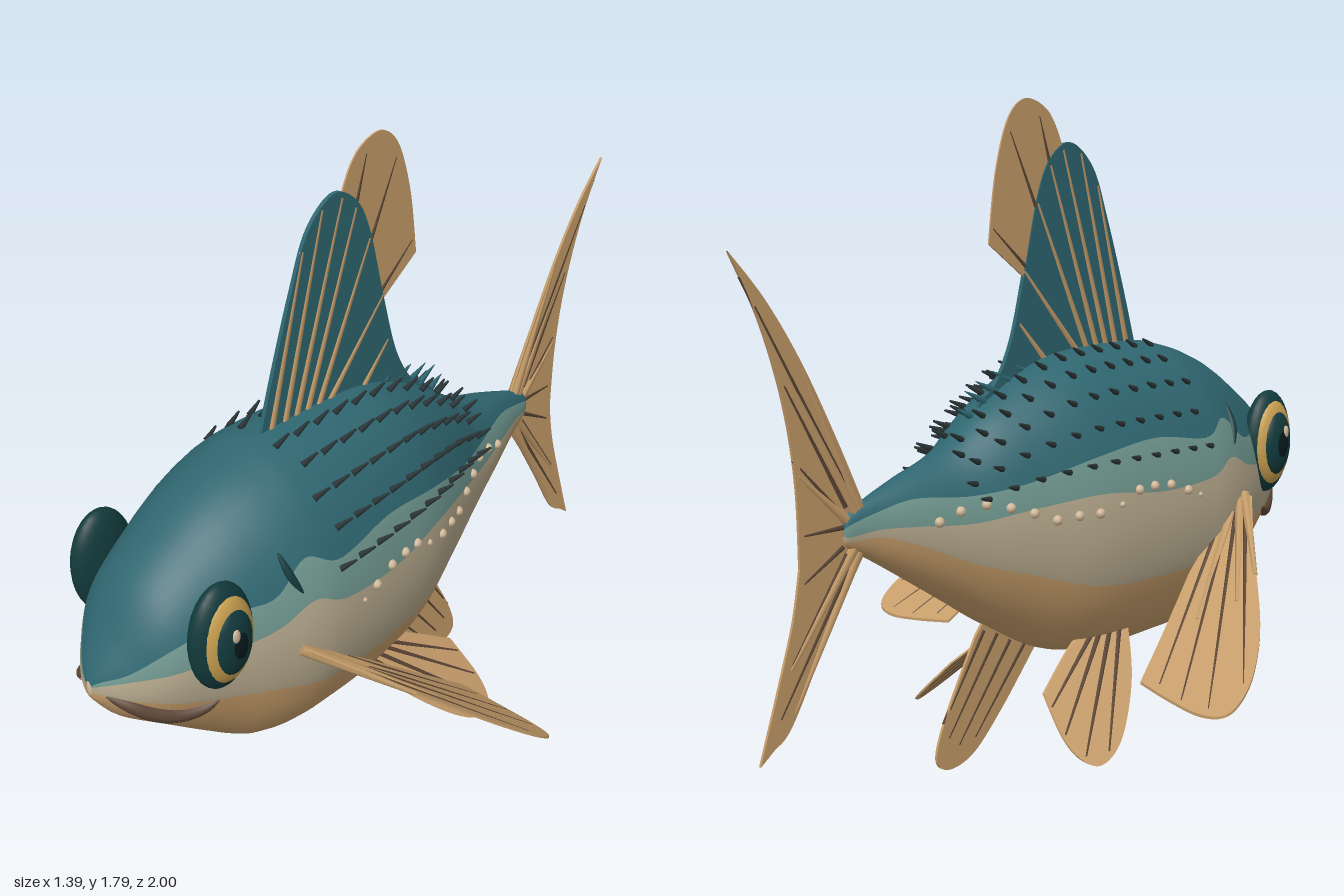
import * as THREE from 'three';

const mat = (name, color, side = THREE.FrontSide) => {
  const m = new THREE.MeshStandardMaterial({ color, side });
  m.name = name;
  return m;
};
const V = (x, y, z) => new THREE.Vector3(x, y, z);

// Body stations: z, top, bottom, half width, then the three colour borders from the top down
const STATIONS = [
  [1, .66, .61, .012, .65, .645, .63], [.985, .69, .585, .05, .67, .66, .63],
  [.94, .76, .525, .11, .7, .68, .62], [.85, .89, .455, .19, .77, .705, .6],
  [.7, 1, .335, .25, .82, .73, .57], [.6, 1.055, .265, .285, .83, .75, .55],
  [.5, 1.09, .24, .31, .9, .79, .52], [.4, 1.11, .235, .315, .86, .75, .5],
  [.2, 1.115, .235, .3, .885, .74, .49], [0, 1.095, .27, .265, .86, .76, .5],
  [-.2, 1.005, .38, .19, .81, .74, .56], [-.35, .9, .48, .13, .79, .72, .61],
  [-.5, .85, .58, .08, .8, .73, .68], [-.6, .815, .645, .045, .78, .735, .715],
  [-.68, .78, .695, .02, .755, .725, .71], [-.69, .75, .72, .003, .74, .73, .725],
];
const columns = [1, 2, 3, 4, 5, 6].map(
  (c) => new THREE.SplineCurve(STATIONS.map((s) => new THREE.Vector2(s[0], s[c]))));

function section(t) {
  const p = columns.map((c) => c.getPoint(t));
  const [top, bot, w, ...borders] = p.map((q) => q.y);
  const c = (top + bot) / 2, h = (top - bot) / 2;
  const angle = (y) => Math.asin(THREE.MathUtils.clamp((y - c) / h, -1, 1));
  return { z: p[0].x, c, h, w, borders, angle, at: (a, s = 1) => V(s * w * Math.cos(a), c + h * Math.sin(a), p[0].x) };
}
function sectionAt(z) {
  let lo = 0, hi = 1;
  for (let i = 0; i < 24; i++) {
    const m = (lo + hi) / 2;
    if (columns[0].getPoint(m).x > z) lo = m; else hi = m;
  }
  return section(lo);
}
const onSkin = (z, y, s) => { const q = sectionAt(z); return q.at(q.angle(y), s); };

export function createModel() {
  const D = THREE.DoubleSide;
  const teal = mat('deep teal', 0x2f6670, D), paleTeal = mat('pale teal', 0x6f968e, D);
  const beige = mat('beige', 0xb5a88c, D), tan = mat('tan', 0xc69d6a, D);
  const darkTeal = mat('dark teal', 0x123a3c), gold = mat('gold', 0xc9a050);
  const brown = mat('brown', 0x5c4636), charcoal = mat('charcoal', 0x2a3436);
  const pupilMat = mat('pupil black', 0x08191c), pearl = mat('pearl', 0xd0b898);
  const model = new THREE.Group();
  const group = (name) => { const g = new THREE.Group(); g.name = name; model.add(g); return g; };
  const add = (parent, name, geo, material) => {
    const m = new THREE.Mesh(geo, material);
    m.name = name;
    parent.add(m);
    return m;
  };
  const ball = (parent, name, material, p, rx, ry = rx, rz = rx, n = 32) => {
    const m = add(parent, name, new THREE.SphereGeometry(1, n, n / 2), material);
    m.position.copy(p);
    m.scale.set(rx, ry, rz);
    return m;
  };
  const rod = (parent, name, material, a, b, r0, r1) => {
    const m = add(parent, name, new THREE.CylinderGeometry(r1, r0, a.distanceTo(b), 6), material);
    m.position.copy(a).lerp(b, .5);
    m.quaternion.setFromUnitVectors(V(0, 1, 0), b.clone().sub(a).normalize());
  };
  // Tube that swells in the middle and comes to a point at both ends
  const spindle = (parent, name, material, points, radius) => {
    const curve = new THREE.CatmullRomCurve3(points), n = 24, sides = 10;
    const g = new THREE.TubeGeometry(curve, n, radius, sides), p = g.attributes.position;
    for (let i = 0; i < p.count; i++) {
      const t = Math.floor(i / (sides + 1)) / n, c = curve.getPointAt(t);
      const v = V().fromBufferAttribute(p, i).sub(c).multiplyScalar(.1 + .9 * Math.sin(Math.PI * t) ** .7).add(c);
      p.setXYZ(i, v.x, v.y, v.z);
    }
    g.computeVertexNormals();
    add(parent, name, g, material);
  };
  // Thin plate from an outline made of smooth runs; map places (u, v, depth) in space
  const plate = (parent, name, material, start, runs, map, depth = .008) => {
    const s = new THREE.Shape();
    s.moveTo(...start);
    runs.forEach((r) => s.splineThru(r.map((p) => new THREE.Vector2(...p))));
    const g = new THREE.ExtrudeGeometry(s, { depth, bevelEnabled: false, curveSegments: 6 }), p = g.attributes.position;
    for (let i = 0; i < p.count; i++) {
      const v = map(p.getX(i), p.getY(i), p.getZ(i) - depth / 2);
      p.setXYZ(i, v.x, v.y, v.z);
    }
    g.computeVertexNormals();
    add(parent, name, g, material);
  };
  const rays = (parent, material, list, map, r0 = .009, r1 = .005) =>
    list.forEach(([a, b, c, d]) => rod(parent, 'finRay', material, map(a, b, 0), map(c, d, 0), r0, r1));

  // Body: one smooth skin with four colour bands per side
  const RINGS = 100, SEG = 8, HALF = SEG * 4, N = HALF * 2;
  const pos = [], bands = [[], [], [], []];
  for (let i = 0; i <= RINGS; i++) {
    const q = section(i / RINGS);
    const edges = [-Math.PI / 2, ...q.borders.slice().reverse().map(q.angle), Math.PI / 2];
    for (let k = 0; k < N; k++) {
      const j = k <= HALF ? k : N - k, b = Math.min(3, Math.floor(j / SEG));
      const a = THREE.MathUtils.lerp(edges[b], edges[b + 1], j / SEG - b);
      pos.push(...q.at(a, k <= HALF ? 1 : -1).toArray());
      if (i === RINGS) continue;
      const band = Math.floor((k < HALF ? k : N - 1 - k) / SEG), k1 = (k + 1) % N;
      const A = i * N + k, B = i * N + k1, C = A + N, E = B + N;
      bands[band].push(A, C, B, B, C, E);
    }
  }
  const skin = new THREE.BufferGeometry();
  skin.setAttribute('position', new THREE.Float32BufferAttribute(pos, 3));
  skin.setIndex(bands.flat());
  let offset = 0;
  bands.forEach((b, i) => { skin.addGroup(offset, b.length, i); offset += b.length; });
  skin.computeVertexNormals();
  add(model, 'body', skin, [tan, beige, paleTeal, teal]);
  ball(model, 'lipNub', pearl, V(0, .635, .99), .014, .03, .014, 16);

  // Fins on the centre plane are drawn as (z, y)
  const mid = (z, y, d) => V(-d, y, z);
  const dorsal = group('dorsalFin');
  plate(dorsal, 'dorsalFront', teal, [.41, 1.08],
    [[[.35, 1.27], [.28, 1.47], [.22, 1.61], [.13, 1.68], [.05, 1.64], [0, 1.54], [-.05, 1.34], [-.1, 1.16], [-.16, 1.05], [-.22, 1.01]], [[-.2, .98], [0, 1.05]]], mid, .012);
  plate(dorsal, 'dorsalRear', tan, [.12, 1.62],
    [[[.07, 1.73], [.02, 1.78], [-.05, 1.795], [-.11, 1.74], [-.155, 1.6], [-.18, 1.42]], [[-.03, 1.31]]], mid, .005);
  rays(dorsal, tan, [[.37, 1.09, .24, 1.56], [.32, 1.1, .17, 1.65], [.28, 1.1, .1, 1.66], [.24, 1.1, .05, 1.62],
    [.2, 1.1, .0, 1.52], [.16, 1.1, -.05, 1.34], [.04, 1.08, -.07, 1.2]], mid, .013, .007);
  rays(dorsal, brown, [[.35, 1.1, .215, 1.58], [.3, 1.1, .14, 1.66], [.05, 1.62, .01, 1.75], [0, 1.5, -.1, 1.71],
    [-.04, 1.35, -.165, 1.46]], mid, .007, .003);
  [[-.06, .06], [-.11, .06], [-.16, .07], [-.2, .07], [-.25, .05]].forEach(([z, l]) => {
    const a = sectionAt(z).at(Math.PI / 2);
    rod(dorsal, 'backSpine', teal, a, a.clone().add(V(0, l * .5, -l)), .012, .001);
  });

  const tail = group('tailFin');
  plate(tail, 'tailMembrane', tan, [-.61, .77],
    [[[-.7, .97], [-.8, 1.17], [-.9, 1.33], [-1, 1.45]], [[-.92, 1.28], [-.86, 1.08], [-.83, .88], [-.825, .67]],
      [[-.85, .54], [-.9, .38], [-.96, .2]], [[-.92, .23], [-.86, .28], [-.74, .49], [-.61, .69]]], mid);
  rays(tail, tan, [[-.63, .77, -.8, 1.16], [-.64, .76, -.82, 1.1], [-.65, .74, -.82, .9], [-.63, .7, -.85, .31], [-.65, .7, -.86, .42]], mid, .018, .006);
  rays(tail, brown, [[-.66, .82, -.97, 1.39], [-.68, .8, -.88, 1.17], [-.68, .77, -.835, .94], [-.69, .75, -.825, .75],
    [-.65, .68, -.93, .25], [-.68, .68, -.88, .4], [-.69, .7, -.83, .62]], mid, .009, .004);

  const anal = group('analFin');
  plate(anal, 'analMembrane', tan, [0, .29],
    [[[-.06, .22], [-.14, .13], [-.24, .035], [-.32, .005], [-.375, .02], [-.385, .07], [-.34, .18], [-.24, .36]], [[-.2, .41]]], mid);
  rays(anal, brown, [[-.05, .3, -.28, .03], [-.11, .32, -.34, .02], [-.16, .35, -.375, .05], [-.21, .37, -.36, .14]], mid, .008, .004);

  // Paired parts
  for (const s of [1, -1]) {
    const side = s > 0 ? 'left' : 'right';

    // Pectoral fin, drawn as (x, z) on a slope falling to the rear
    const pec = group(side + 'PectoralFin');
    const slope = (x, z, d) => V(s * x, .67 - .75 * (.56 - z) - d, z);
    plate(pec, 'pectoralMembrane', tan, [.27, .57],
      [[[.33, .555]], [[.45, .41], [.6, .24], [.665, .14], [.693, .06], [.68, .0], [.61, -.02], [.5, -.01], [.38, .01]], [[.345, .15], [.3, .31]]], slope);
    rays(pec, tan, [[.3, .56, .5, .35], [.3, .54, .5, .27], [.3, .5, .42, .2]], slope, .016, .006);
    rays(pec, brown, [[.32, .54, .67, .08], [.31, .51, .62, .0], [.31, .47, .53, .0], [.3, .42, .44, .02]], slope, .008, .004);

    // Pelvic fin, drawn as (z, y) on a plane spreading outward as it falls
    const pel = group(side + 'PelvicFin');
    const splay = (z, y, d) => V(s * (.17 - 1.035 * (y - .33) + .283 * (z - .2) - d), y, z);
    plate(pel, 'pelvicMembrane', tan, [.21, .35],
      [[[.12, .23], [.02, .135], [-.06, .08], [-.13, .058], [-.17, .08], [-.18, .13], [-.16, .22]], [[0, .31], [.1, .35]]], splay);
    rays(pel, brown, [[.17, .33, -.08, .08], [.14, .33, -.15, .08], [.11, .33, -.17, .13], [.07, .32, -.16, .19]], splay, .008, .004);

    // Eye: rim, gold ring, iris, pupil and glint stacked outward
    const eye = group(side + 'Eye');
    ball(eye, 'eyeRim', darkTeal, V(s * .228, .79, .76), .05, .155, .097);
    ball(eye, 'goldRing', gold, V(s * .25, .79, .757), .036, .128, .08);
    ball(eye, 'iris', darkTeal, V(s * .262, .79, .755), .036, .1, .062);
    ball(eye, 'pupil', pupilMat, V(s * .272, .79, .753), .029, .064, .039);
    ball(eye, 'glint', pearl, V(s * .294, .825, .765), .007, .02, .012, 12);

    // Drooping mouth and gill mark
    const lip = [[.985, .63], [.95, .605], [.9, .572], [.85, .555], [.8, .56], [.765, .582]];
    spindle(model, side + 'Mouth', brown, lip.map(([z, y]) => onSkin(z, y, s)), .023);
    spindle(model, side + 'GillMark', darkTeal, [[.56, .93], [.55, .87], [.53, .82]].map(([z, y]) => onSkin(z, y, s)), .011);

    // Row of pearls along the flank
    const pearls = group(side + 'Pearls');
    [[.34, .71, .007], [.29, .73], [.225, .755], [.165, .76], [.11, .757], [.05, .725, .009], [-.02, .71], [-.08, .71], [-.14, .705],
      [-.2, .73], [-.26, .75], [-.32, .765], [-.39, .755], [-.45, .735]].forEach(([z, y, r = .014]) =>
      ball(pearls, 'pearl', pearl, onSkin(z, y, s), r, r, r, 12));

    // Small backswept scales in rows over the back
    const scales = group(side + 'Scales');
    [78, 64, 50, 36, 22].forEach((deg, row) => {
      const a = THREE.MathUtils.degToRad(deg);
      for (let i = 0; i < 11; i++) {
        const q = sectionAt(.41 - i * .072 - (row % 2) * .025), p = q.at(a, s);
        const out = V(s * Math.cos(a) / q.w, Math.sin(a) / q.h, 0).normalize();
        const tip = p.clone().addScaledVector(out, .016).add(V(0, .008, -.045));
        rod(scales, 'scale', charcoal, p, tip, .009, .003);
      }
    });
  }
  return model;
}
